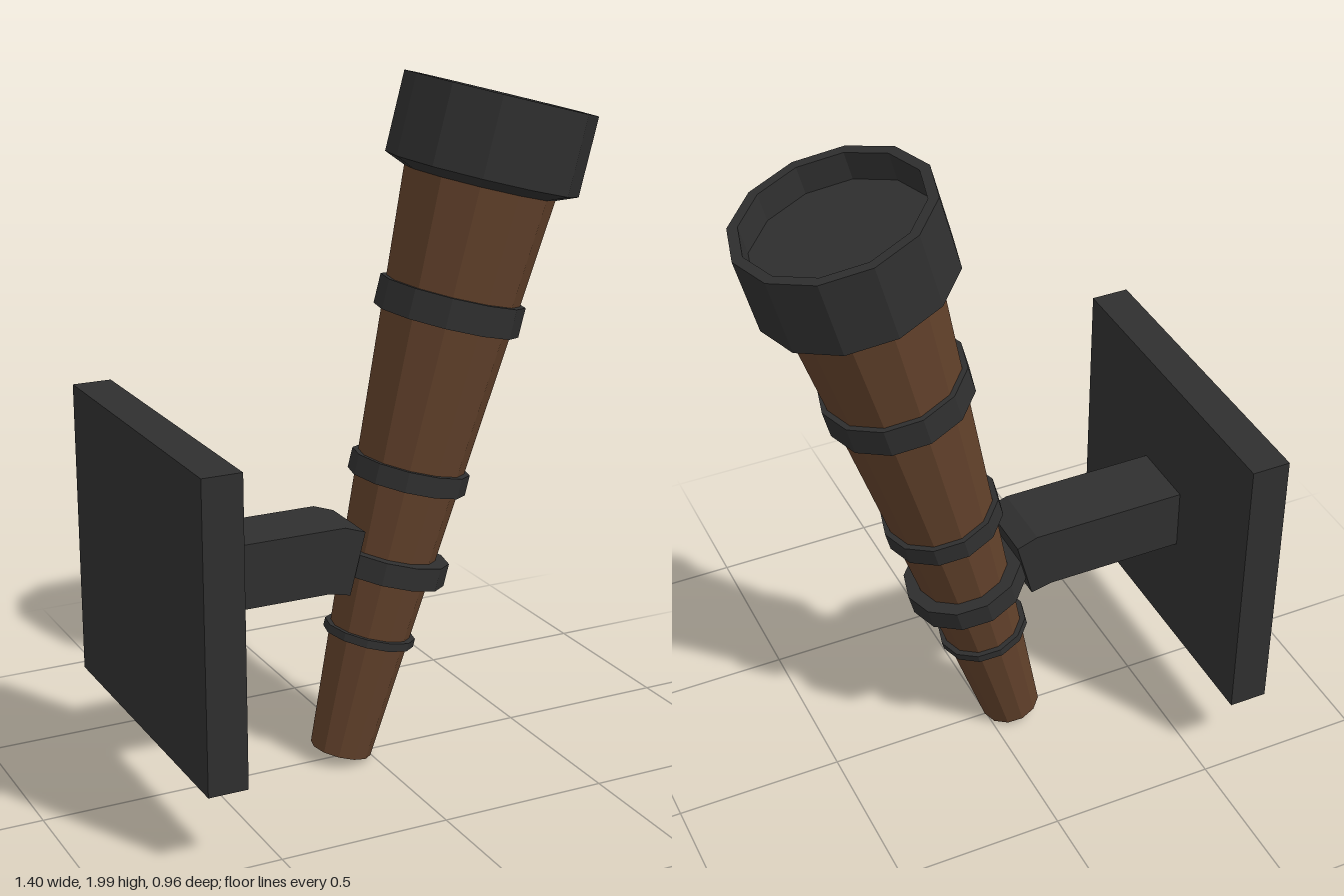
import * as THREE from 'three';

export function createModel() {
  const iron = new THREE.MeshStandardMaterial({ color: 0x2f2f2f, flatShading: true });
  iron.name = 'dark iron';
  const wood = new THREE.MeshStandardMaterial({ color: 0x60402a, flatShading: true });
  wood.name = 'brown wood';
  const SIDES = 12;

  const model = new THREE.Group();
  model.name = 'wallTorch';
  const add = (parent, name, geometry, material) => {
    const mesh = new THREE.Mesh(geometry, material);
    mesh.name = name;
    parent.add(mesh);
    return mesh;
  };

  // Wall plate
  add(model, 'wallPlate', new THREE.BoxGeometry(0.115, 0.88, 0.96), iron).position.set(-0.6425, 0.66, 0);

  // Bracket arm, its end bent square to the tilted shaft
  const side = new THREE.Shape([
    [-0.6, 0.565], [-0.165, 0.565], [-0.1, 0.55], [-0.052, 0.733], [-0.115, 0.755], [-0.6, 0.755],
  ].map(([x, y]) => new THREE.Vector2(x, y)));
  const arm = new THREE.ExtrudeGeometry(side, { depth: 0.21, bevelEnabled: false });
  arm.translate(0, 0, -0.105);
  add(model, 'bracketArm', arm, iron);

  // Tilted torch, standing on its own local y axis
  const torch = new THREE.Group();
  torch.name = 'torch';
  torch.position.set(-0.082, 0.027, 0);
  torch.rotation.z = -THREE.MathUtils.degToRad(15);
  model.add(torch);

  // Tapered wooden shaft
  const shaft = new THREE.CylinderGeometry(0.22, 0.09, 1.72, SIDES);
  add(torch, 'shaft', shaft, wood).position.y = 0.86;

  // Iron bands: bottom, top, radius
  [
    [0.352, 0.376, 0.135],
    [0.551, 0.618, 0.178],
    [0.827, 0.887, 0.174],
    [1.308, 1.395, 0.212],
  ].forEach(([y0, y1, r], i) => {
    const band = new THREE.CylinderGeometry(r, r, y1 - y0, SIDES);
    add(torch, 'band' + (i + 1), band, iron).position.y = (y0 + y1) / 2;
  });

  // Cup with chamfered underside and recessed floor
  const profile = [
    [0, 1.708], [0.218, 1.708], [0.28, 1.733], [0.28, 1.965], [0.25, 1.965], [0.25, 1.878], [0, 1.878],
  ].map(([r, y]) => new THREE.Vector2(r, y));
  add(torch, 'cup', new THREE.LatheGeometry(profile, SIDES), iron);

  return model;
}
